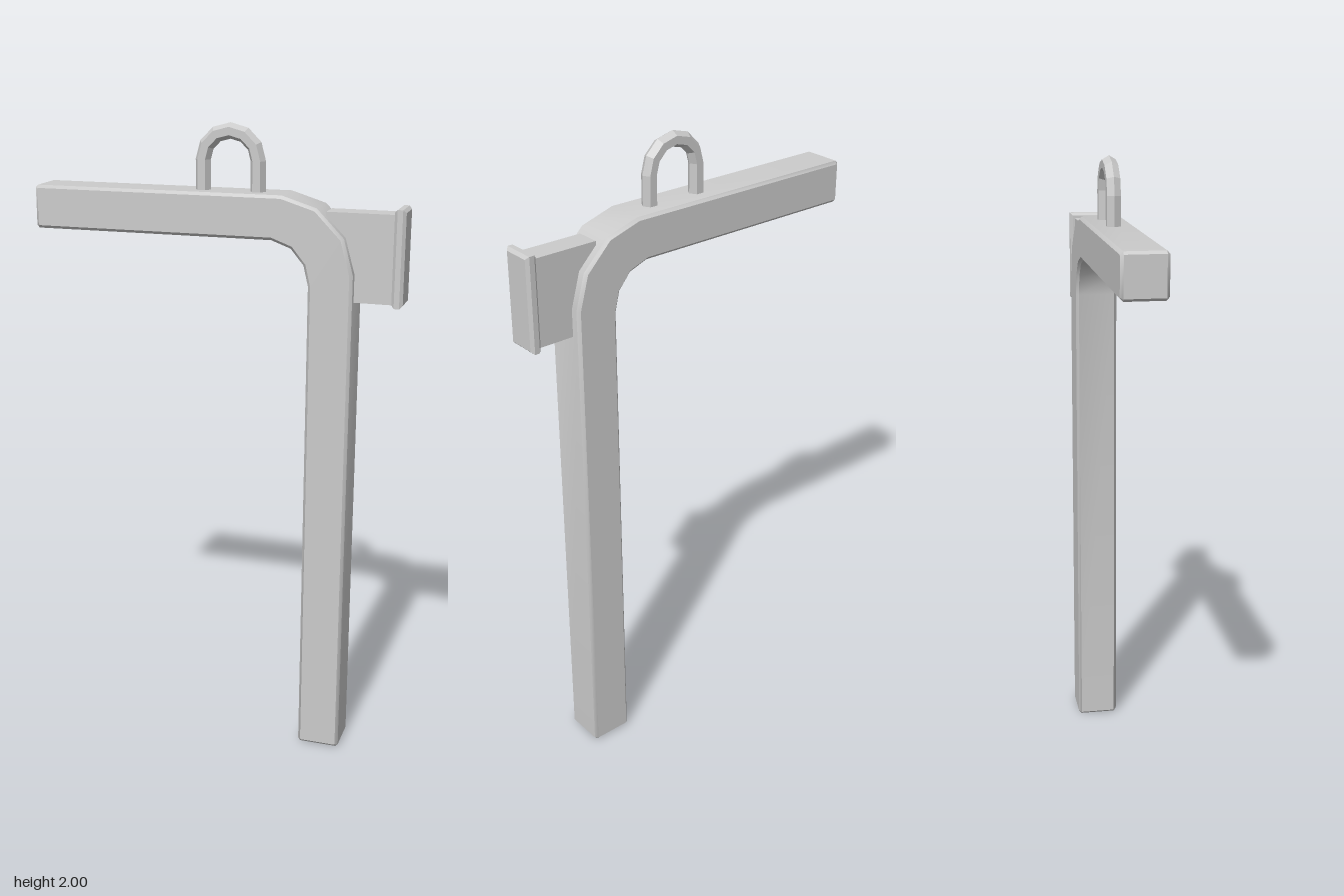
import * as THREE from 'three';
import { toCreasedNormals } from 'three/addons/utils/BufferGeometryUtils.js';

const material = new THREE.MeshStandardMaterial({ color: 0xcccccc });
const flatMaterial = new THREE.MeshStandardMaterial({ color: 0xcccccc, flatShading: true });

function addMesh(parent, name, geometry, mat = material) {
  const mesh = new THREE.Mesh(geometry, mat);
  mesh.name = name;
  parent.add(mesh);
  return mesh;
}

// Extrudes an outline to a given thickness, centred on z, with chamfered rims
function chamferedSlab(points, thickness, bevel) {
  const shape = new THREE.Shape(points.map(([x, y]) => new THREE.Vector2(x, y)));
  const geometry = new THREE.ExtrudeGeometry(shape, {
    depth: thickness - 2 * bevel,
    bevelEnabled: true,
    bevelThickness: bevel,
    bevelSize: bevel,
    bevelOffset: -bevel,
    bevelSegments: 1,
  });
  geometry.translate(0, 0, -thickness / 2 + bevel);
  return geometry;
}

export function createModel() {
  const model = new THREE.Group();
  model.name = 'bentPost';

  // Square bar: horizontal arm, faceted bend and upright, with chamfered ends
  const c = 0.008;
  const bar = chamferedSlab([
    [0.295 + c, 0], [0.43 - c, 0], [0.43, c],
    [0.43, 1.575], [0.40, 1.682], [0.317, 1.767], [0.21, 1.8],
    [-0.58 + c, 1.8], [-0.58, 1.8 - c], [-0.58, 1.667 + c], [-0.58 + c, 1.667],
    [0.18, 1.667], [0.24, 1.645], [0.28, 1.597], [0.295, 1.535], [0.295, c],
  ], 0.135, 0.009);
  addMesh(model, 'bentBar', toCreasedNormals(bar, 0.6));

  // Side bracket on the outside of the bend
  const bracket = addMesh(model, 'bracket', new THREE.BoxGeometry(0.22, 0.265, 0.074));
  bracket.position.set(0.45, 1.623, 0);

  // End plate with chamfered rims, turned to face along x
  const h = 0.1445, w = 0.052;
  const plate = addMesh(model, 'endPlate',
    chamferedSlab([[-w, -h], [w, -h], [w, h], [-w, h]], 0.034, 0.009));
  plate.rotation.y = Math.PI / 2;
  plate.position.set(0.561, 1.6275, 0);

  // Hexagonal lifting loop: half ring on two legs
  const loop = new THREE.Group();
  loop.name = 'liftingLoop';
  loop.position.set(0.035, 1.89, 0);
  model.add(loop);
  const ring = 0.086, tube = 0.024, legLength = 0.12;
  addMesh(loop, 'loopArch', new THREE.TorusGeometry(ring, tube, 6, 6, Math.PI), flatMaterial);
  for (const side of [-1, 1]) {
    const leg = addMesh(loop, side > 0 ? 'loopLegLeft' : 'loopLegRight',
      new THREE.CylinderGeometry(tube, tube, legLength, 6), flatMaterial);
    leg.rotation.y = Math.PI / 2;
    leg.position.set(side * ring, -legLength / 2, 0);
  }

  return model;
}
